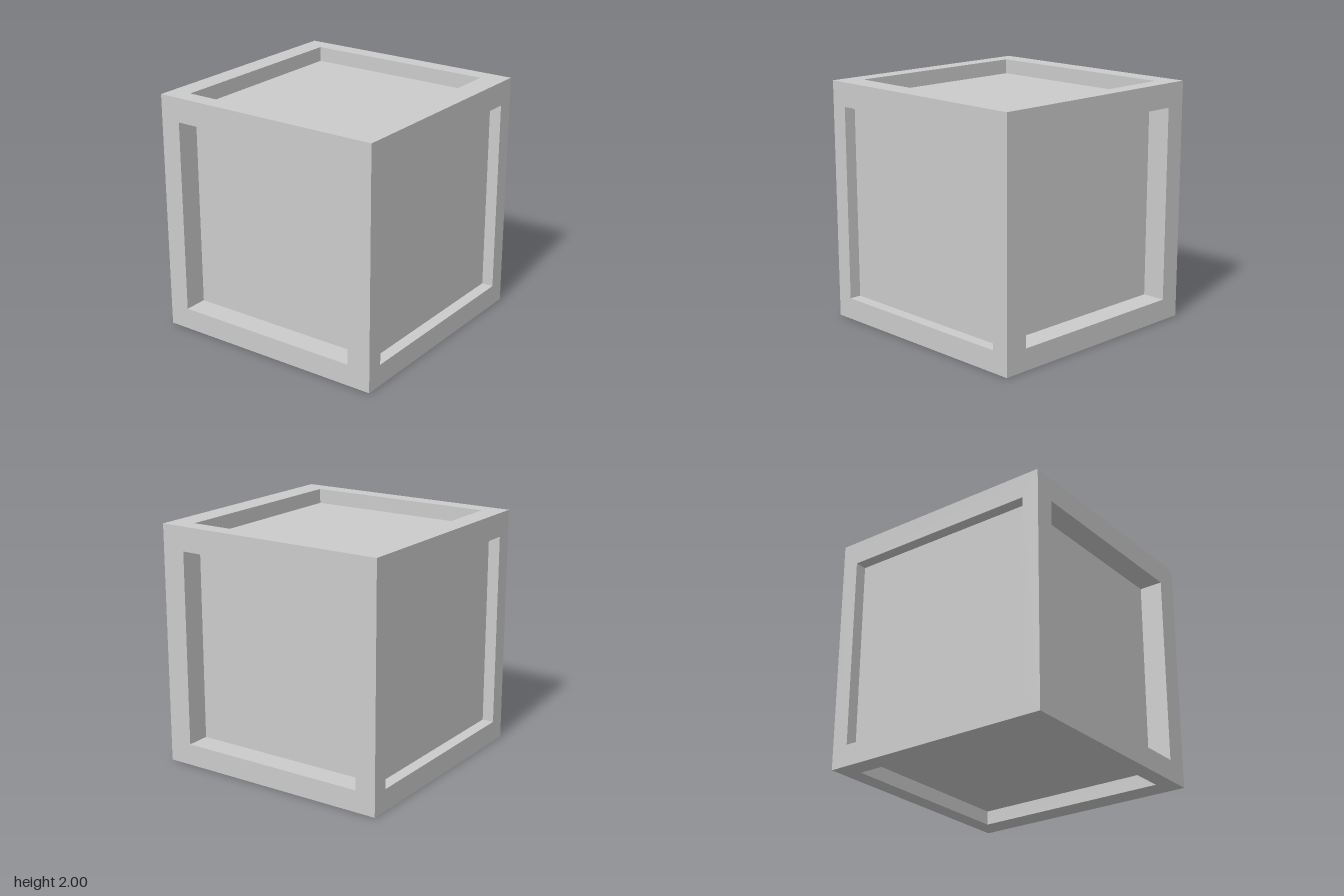
import * as THREE from 'three';

// Block centred on the origin while building; pocket openings span this range on every face
const OPEN_MIN = new THREE.Vector3(-0.855, -0.82, -0.825);
const OPEN_MAX = new THREE.Vector3(0.855, 0.8, 0.8);

// name, horizontal axis, vertical axis (their cross product points outwards), pocket depth
const SIDES = [
  ['frontSide', [1, 0, 0], [0, 1, 0], 0.1],
  ['backSide', [-1, 0, 0], [0, 1, 0], 0.1],
  ['leftSide', [0, 0, -1], [0, 1, 0], 0.2],
  ['rightSide', [0, 0, 1], [0, 1, 0], 0.2],
  ['topSide', [1, 0, 0], [0, 0, -1], 0.125],
  ['bottomSide', [1, 0, 0], [0, 0, 1], 0.12],
];

// Extent of the opening along a signed axis
function extent(axis) {
  const a = OPEN_MIN.dot(axis), b = OPEN_MAX.dot(axis);
  return [Math.min(a, b), Math.max(a, b)];
}

// One face: flat rim, four pocket walls and the sunken panel, from three square loops
function sideGeometry(u, v, depth) {
  const n = new THREE.Vector3().crossVectors(u, v);
  const loop = ([u0, u1], [v0, v1], h) =>
    [[u0, v0], [u1, v0], [u1, v1], [u0, v1]].map(([a, b]) =>
      new THREE.Vector3().addScaledVector(u, a).addScaledVector(v, b).addScaledVector(n, h));
  const loops = [
    loop([-1, 1], [-1, 1], 1),
    loop(extent(u), extent(v), 1),
    loop(extent(u), extent(v), 1 - depth),
  ];
  const points = [];
  const quad = (a, b, c, d) => points.push(a, b, c, a, c, d);
  for (let k = 0; k < 2; k++) {
    for (let i = 0; i < 4; i++) {
      const j = (i + 1) % 4;
      quad(loops[k][i], loops[k][j], loops[k + 1][j], loops[k + 1][i]);
    }
  }
  quad(...loops[2]);
  const geometry = new THREE.BufferGeometry().setFromPoints(points);
  geometry.computeVertexNormals();
  return geometry;
}

export function createModel() {
  const group = new THREE.Group();
  group.name = 'crate';
  const material = new THREE.MeshStandardMaterial({ color: 0xcccccc, flatShading: true });
  for (const [name, u, v, depth] of SIDES) {
    const geometry = sideGeometry(new THREE.Vector3(...u), new THREE.Vector3(...v), depth);
    const side = new THREE.Mesh(geometry, material);
    side.name = name;
    side.position.y = 1;
    group.add(side);
  }
  return group;
}
